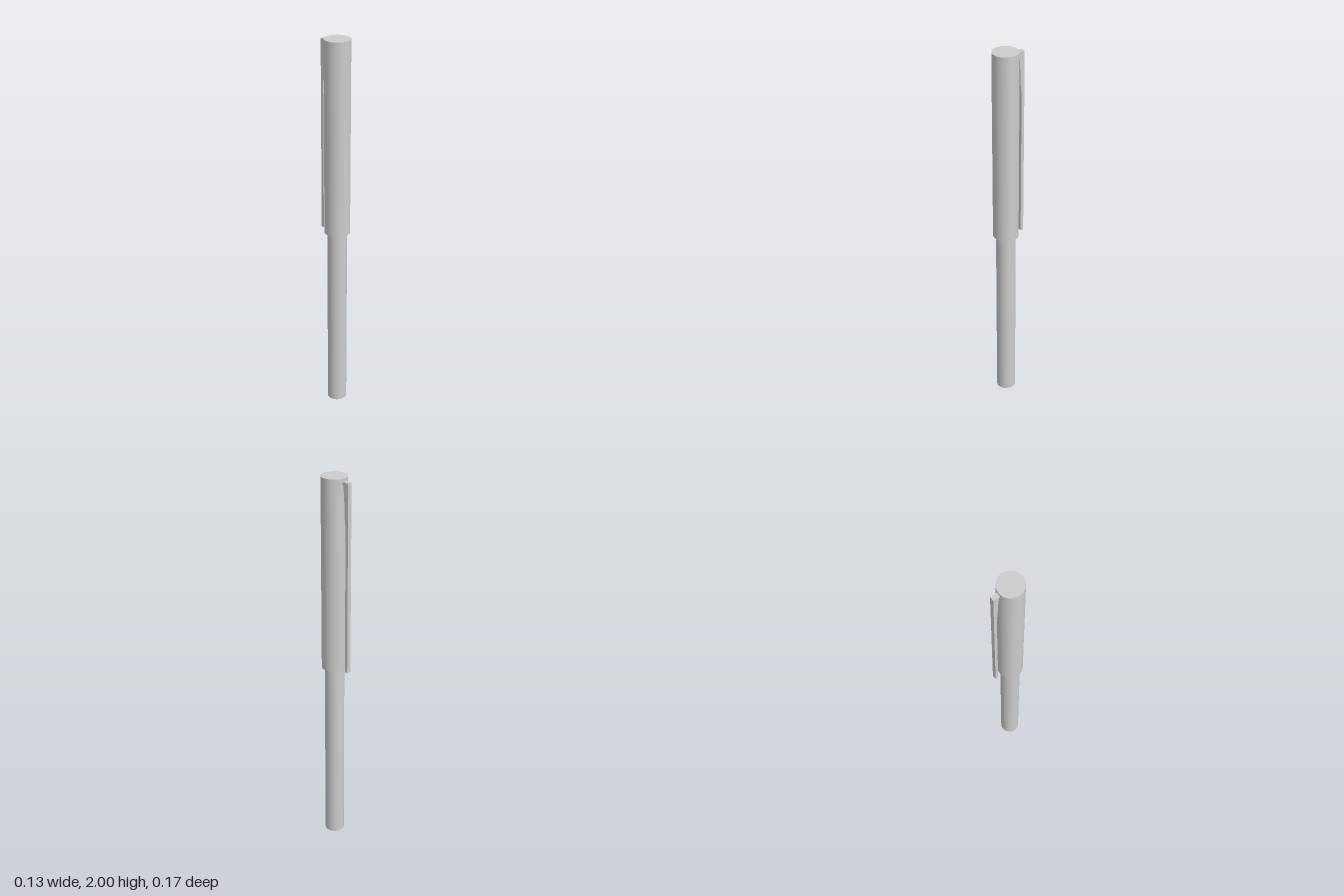
import * as THREE from 'three';

export function createModel() {
  const group = new THREE.Group();
  const material = new THREE.MeshStandardMaterial({ color: 0xcccccc });
  const axisZ = 0.0175; // the round body sits forward to balance the clip

  const add = (name, geometry) => {
    const mesh = new THREE.Mesh(geometry, material);
    mesh.name = name;
    group.add(mesh);
    return mesh;
  };
  const rod = (name, radius, y0, y1) =>
    add(name, new THREE.CylinderGeometry(radius, radius, y1 - y0, 64)).position.set(0, (y0 + y1) / 2, axisZ);

  // Slim barrel, sliding into the wider cap
  rod('barrel', 0.05, 0, 1.02);
  rod('cap', 0.065, 0.995, 2);

  // Clip: side profile (distance behind centre, height), thickening at the top to meet the cap
  const profile = [
    [0.067, 0.995], [0.083, 0.995], [0.083, 1.985], [0.046, 1.985],
    [0.046, 1.972], [0.053, 1.965], [0.058, 1.9], [0.063, 1.78], [0.067, 1.78],
  ].map(([d, y]) => new THREE.Vector2(d, y));
  const width = 0.023;
  const clip = new THREE.ExtrudeGeometry(new THREE.Shape(profile), { depth: width, bevelEnabled: false });
  clip.translate(0, 0, -width / 2).rotateY(Math.PI / 2);
  add('clip', clip);

  return group;
}
